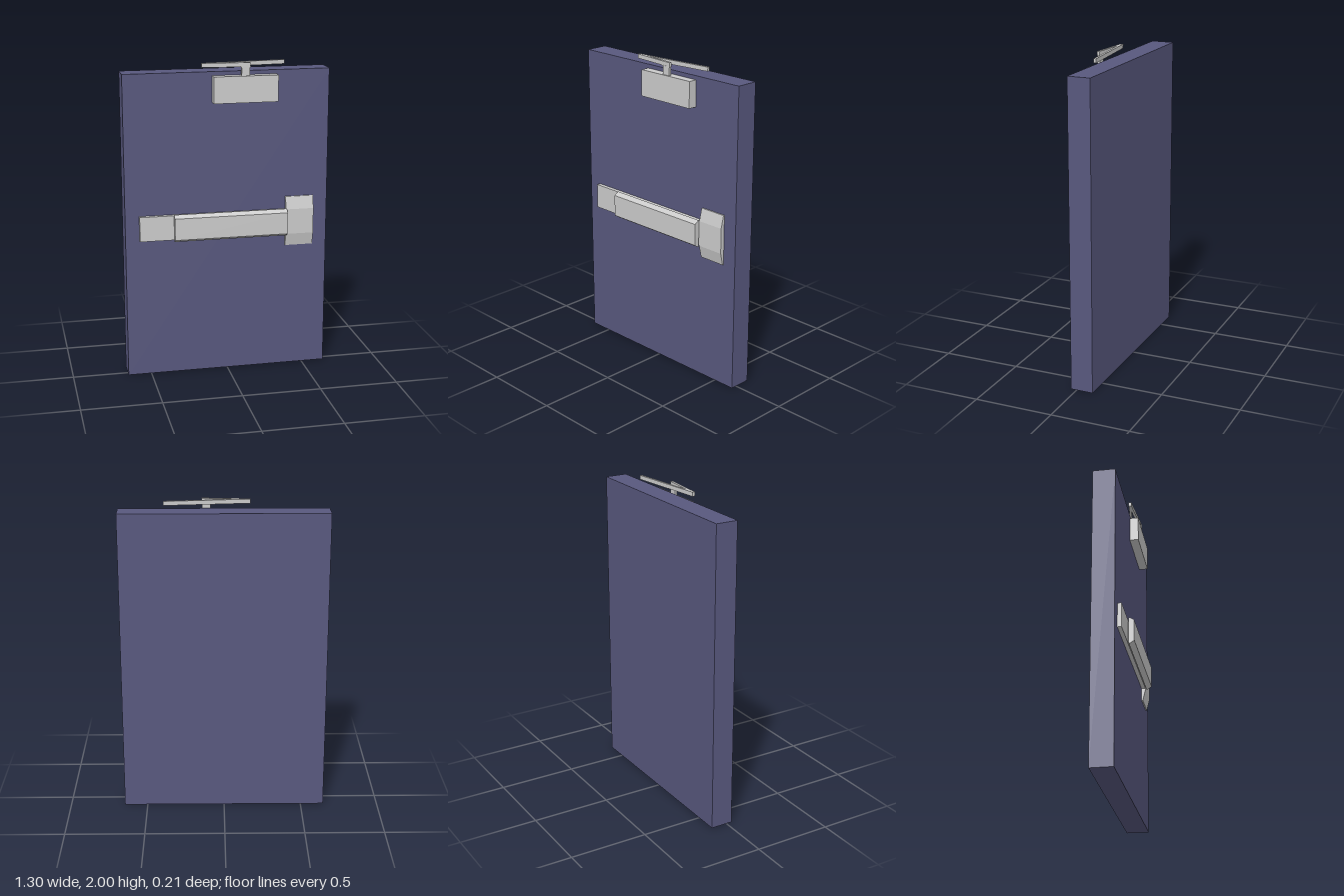
import * as THREE from 'three';

const grey = new THREE.MeshStandardMaterial({ color: 0xcccccc, flatShading: true });
const blue = new THREE.MeshStandardMaterial({ color: 0x58587e, flatShading: true });

function add(group, name, geometry, material = grey) {
  const mesh = new THREE.Mesh(geometry, material);
  mesh.name = name;
  group.add(mesh);
  return mesh;
}

// Box given by its limits on each axis
function block(group, name, [x0, x1], [y0, y1], [z0, z1], material) {
  const mesh = add(group, name, new THREE.BoxGeometry(x1 - x0, y1 - y0, z1 - z0), material);
  mesh.position.set((x0 + x1) / 2, (y0 + y1) / 2, (z0 + z1) / 2);
  return mesh;
}

// Extrudes a [z, y] profile along x from x0 to x1
function sweepX(group, name, profile, x0, x1) {
  const shape = new THREE.Shape(profile.map(([z, y]) => new THREE.Vector2(-z, y)));
  const geometry = new THREE.ExtrudeGeometry(shape, { depth: x1 - x0, bevelEnabled: false });
  geometry.rotateY(Math.PI / 2);
  const mesh = add(group, name, geometry);
  mesh.position.x = x0;
  return mesh;
}

// Flat lever between two [x, z] points
function lever(group, name, [xa, za], [xb, zb], width) {
  const dx = xb - xa, dz = zb - za;
  const mesh = add(group, name, new THREE.BoxGeometry(Math.hypot(dx, dz), 0.026, width));
  mesh.position.set((xa + xb) / 2, 1.987, (za + zb) / 2);
  mesh.rotation.y = -Math.atan2(dz, dx);
  return mesh;
}

export function createModel() {
  const model = new THREE.Group();
  model.name = 'door';

  block(model, 'doorPanel', [-0.648, 0.648], [0, 1.945], [-0.106, 0.037], blue);

  // Door closer: body, spindle and folding arm
  const closer = new THREE.Group();
  closer.name = 'doorCloser';
  model.add(closer);
  block(closer, 'closerBody', [-0.095, 0.31], [1.755, 1.92], [0.035, 0.093]);
  const spindle = new THREE.Shape([
    [0.08, 1.915], [0.132, 1.915], [0.132, 1.968], [0.138, 1.976], [0.072, 1.976], [0.08, 1.968],
  ].map(([x, y]) => new THREE.Vector2(x, y)));
  const post = add(closer, 'closerSpindle',
    new THREE.ExtrudeGeometry(spindle, { depth: 0.016, bevelEnabled: false }));
  post.position.z = 0.067;
  lever(closer, 'mainArm', [-0.162, 0.05], [0.136, 0.076], 0.017);
  lever(closer, 'foreArm', [-0.162, 0.048], [0.368, -0.007], 0.015);

  // Push bar: rail, chamfered bar and flared end cap
  const exitBar = new THREE.Group();
  exitBar.name = 'pushBar';
  model.add(exitBar);
  block(exitBar, 'rail', [-0.56, 0.377], [0.897, 1.055], [0.035, 0.063]);
  block(exitBar, 'barSupport', [-0.327, 0.36], [0.905, 1.045], [0.06, 0.072]);
  sweepX(exitBar, 'bar', [
    [0.07, 0.888], [0.076, 0.888], [0.104, 0.906], [0.104, 1.044], [0.076, 1.062], [0.07, 1.062],
  ], -0.345, 0.378);
  sweepX(exitBar, 'endCap', [
    [0.035, 0.813], [0.045, 0.813], [0.064, 0.893], [0.064, 1.055], [0.045, 1.135], [0.035, 1.135],
  ], 0.376, 0.556);

  return model;
}
